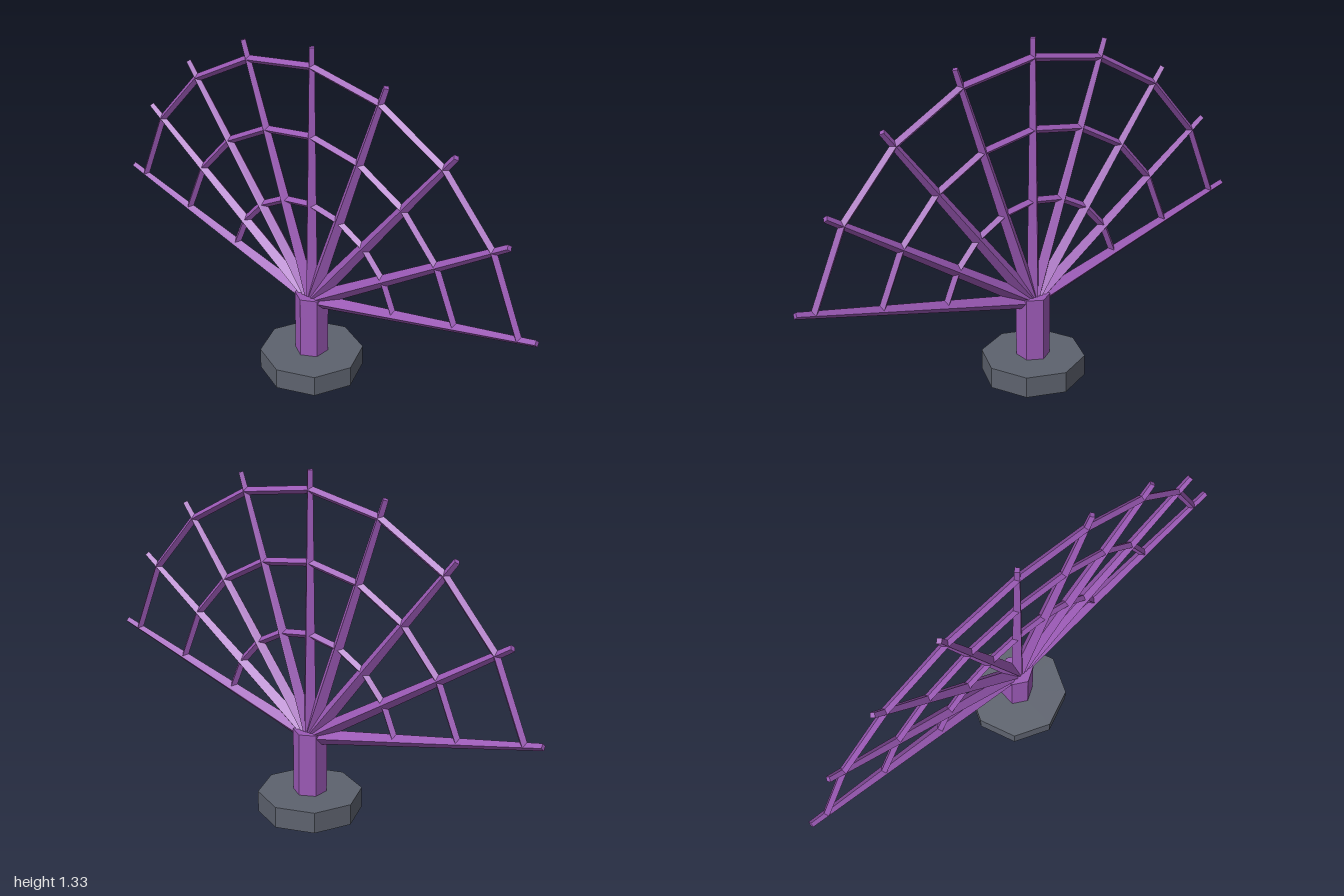
import * as THREE from 'three';

export function createModel() {
  const model = new THREE.Group();
  model.name = 'fanTrellis';

  const purple = new THREE.MeshStandardMaterial({ color: 0x9b59b6, flatShading: true });
  purple.name = 'purple';
  const slate = new THREE.MeshStandardMaterial({ color: 0x5d626e, flatShading: true });
  slate.name = 'slate grey';

  const HUB_Y = 0.305, RIB_LENGTH = 1.025, RIBS = 9;
  const SPREAD = THREE.MathUtils.degToRad(76);
  const angles = Array.from({ length: RIBS }, (_, i) => SPREAD * (1 - (2 * i) / (RIBS - 1)));

  // Point on the fan at an angle from vertical and a distance from the hub
  const fanPoint = (angle, radius) =>
    new THREE.Vector3(Math.sin(angle) * radius, HUB_Y + Math.cos(angle) * radius, 0);

  // Tapered round bar between two points in the fan's plane
  function bar(name, from, to, rFrom, rTo, parent) {
    const d = to.clone().sub(from);
    const mesh = new THREE.Mesh(new THREE.CylinderGeometry(rTo, rFrom, d.length(), 4), purple);
    mesh.position.copy(from).add(to).multiplyScalar(0.5);
    mesh.rotation.z = Math.atan2(-d.x, d.y);
    mesh.name = name;
    parent.add(mesh);
  }

  // Upright prism standing between two heights
  function prism(name, radius, y0, y1, sides, material) {
    const mesh = new THREE.Mesh(new THREE.CylinderGeometry(radius, radius, y1 - y0, sides), material);
    mesh.position.y = (y0 + y1) / 2;
    mesh.name = name;
    model.add(mesh);
  }

  // Octagonal foot and hexagonal post
  prism('base', 0.2, 0, 0.083, 8, slate);
  prism('post', 0.065, 0.002, 0.333, 6, purple);

  // Ribs spreading from the hub
  const ribs = new THREE.Group();
  ribs.name = 'ribs';
  for (const a of angles) bar('rib', fanPoint(a, 0), fanPoint(a, RIB_LENGTH), 0.03, 0.013, ribs);
  model.add(ribs);

  // Straight crosspieces joining neighbouring ribs in three arcs
  ['innerArc', 'middleArc', 'outerArc'].forEach((name, k) => {
    const arc = new THREE.Group();
    arc.name = name;
    const radius = [0.41, 0.685, 0.953][k];
    for (let i = 0; i < RIBS - 1; i++) {
      bar('crosspiece', fanPoint(angles[i], radius), fanPoint(angles[i + 1], radius), 0.015, 0.015, arc);
    }
    model.add(arc);
  });

  return model;
}
